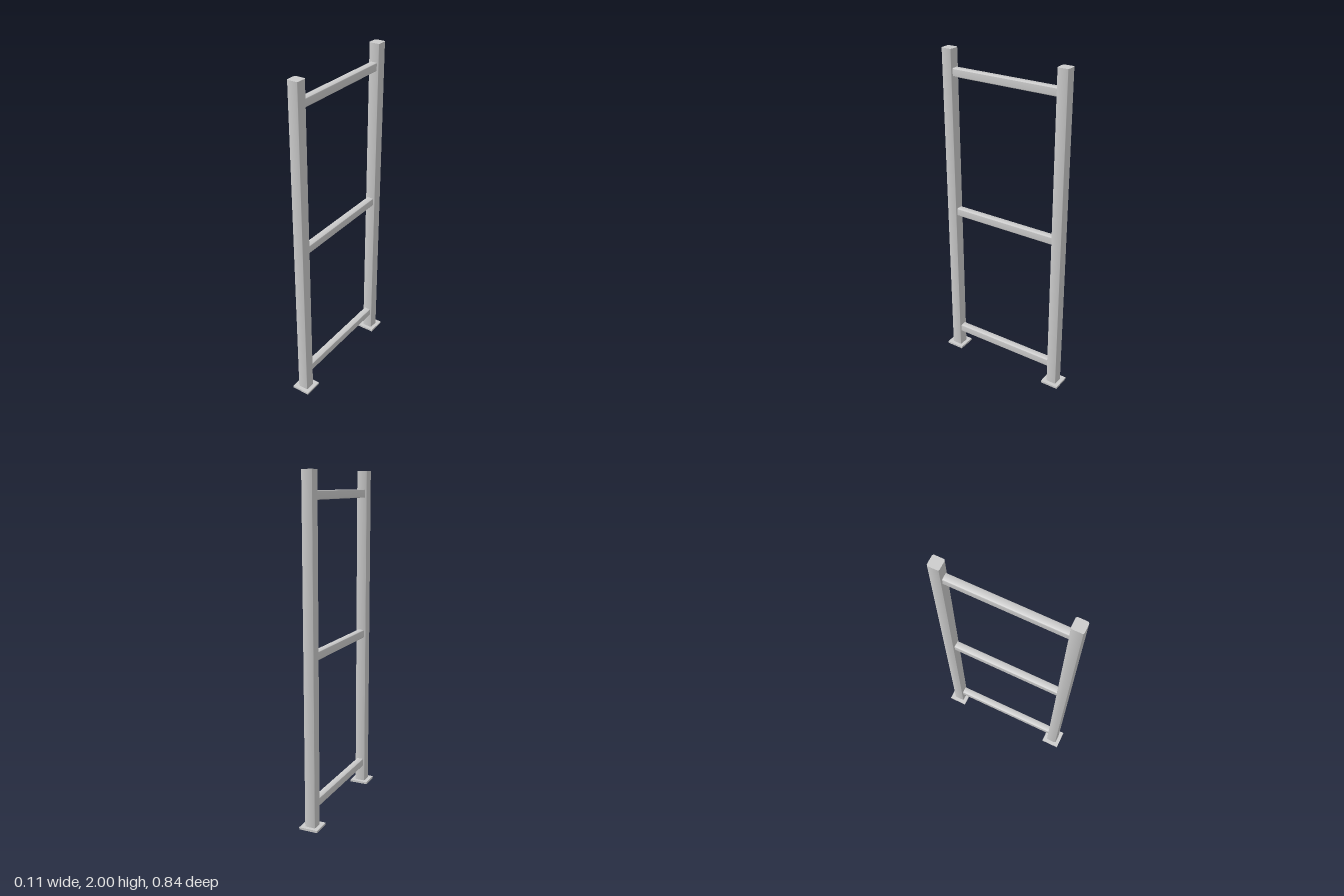
import * as THREE from 'three';
import { toCreasedNormals } from 'three/addons/utils/BufferGeometryUtils.js';

const material = new THREE.MeshStandardMaterial({ color: 0xcccccc });

// Rounded rectangular bar, extruded along +z from 0 to length
function roundedBar(w, h, r, length) {
  const x = w / 2 - r, y = h / 2 - r;
  const shape = new THREE.Shape();
  shape.absarc(x, y, r, 0, Math.PI / 2);
  shape.absarc(-x, y, r, Math.PI / 2, Math.PI);
  shape.absarc(-x, -y, r, Math.PI, Math.PI * 1.5);
  shape.absarc(x, -y, r, Math.PI * 1.5, Math.PI * 2);
  const geometry = new THREE.ExtrudeGeometry(shape, { depth: length, bevelEnabled: false, curveSegments: 6 });
  return toCreasedNormals(geometry, 0.7);
}

export function createModel() {
  const model = new THREE.Group();
  model.name = 'ladderFrame';

  const postZ = 0.366, postSize = 0.067, plateSize = 0.113, plateHeight = 0.013;
  const add = (name, geometry, y, z) => {
    const mesh = new THREE.Mesh(geometry, material);
    mesh.name = name;
    mesh.position.set(0, y, z);
    model.add(mesh);
  };

  // Upright posts on square foot plates
  const post = roundedBar(postSize, postSize, 0.01, 2 - plateHeight).rotateX(-Math.PI / 2);
  const plate = new THREE.BoxGeometry(plateSize, plateHeight, plateSize);
  for (const [side, name] of [[1, 'front'], [-1, 'back']]) {
    add(name + 'Post', post, plateHeight, side * postZ);
    add(name + 'FootPlate', plate, plateHeight / 2, side * postZ);
  }

  // Rungs between the posts
  const span = 2 * postZ - postSize;
  const rung = roundedBar(0.043, 0.049, 0.006, span);
  [['lowerRung', 0.138], ['middleRung', 1.003], ['upperRung', 1.868]].forEach(([name, y]) => {
    add(name, rung, y, -span / 2);
  });

  return model;
}
